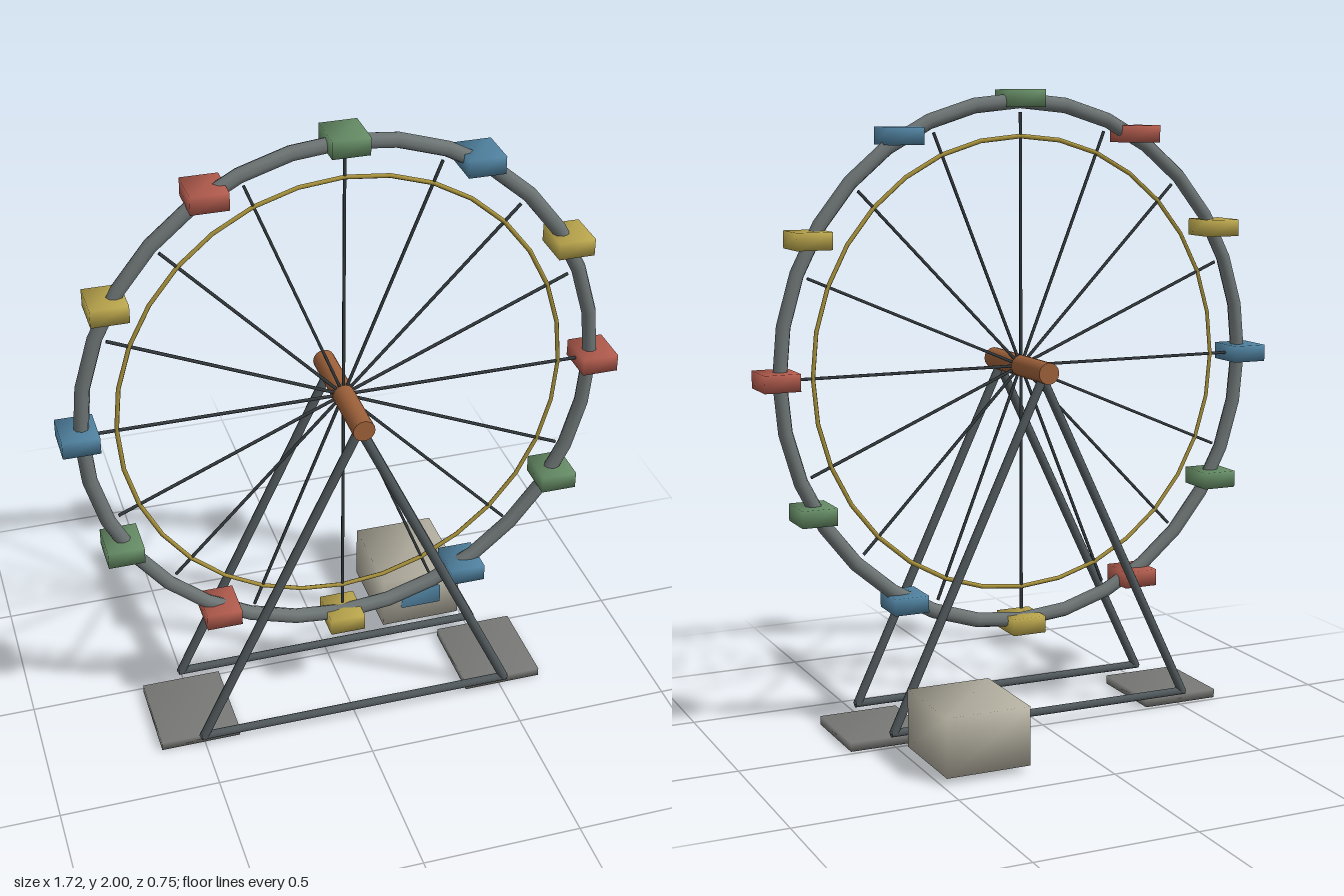
import * as THREE from 'three';
import { mergeVertices } from 'three/addons/utils/BufferGeometryUtils.js';

const AXLE_Y = 1.137, WHEEL_Z = 0.163, STRETCH = 1.043;

const paint = (color) => new THREE.MeshStandardMaterial({ color });
const steel = paint(0x50585b), rimGrey = paint(0x6d7474), wire = paint(0x33393d);
const gold = paint(0xa8923c), copper = paint(0x9c6039), concrete = paint(0x777775);
const cream = paint(0xb5b1a2), blue = paint(0x4f809e);
const cabinPaints = [paint(0xaf5a4c), paint(0xb8a44c), blue, paint(0x648a64)];

function add(parent, name, geometry, material, x = 0, y = 0, z = 0) {
  const mesh = new THREE.Mesh(geometry, material);
  mesh.name = name;
  mesh.position.set(x, y, z);
  parent.add(mesh);
  return mesh;
}

// Box with shared corners, so its shading runs smoothly over the edges
function softBox(w, h, d) {
  const g = new THREE.BoxGeometry(w, h, d);
  g.deleteAttribute('normal');
  g.deleteAttribute('uv');
  const merged = mergeVertices(g);
  merged.computeVertexNormals();
  return merged;
}

// Round bar between two points
function bar(parent, name, a, b, radius, material, sides = 8) {
  const from = new THREE.Vector3(...a), to = new THREE.Vector3(...b);
  const dir = to.clone().sub(from);
  const mesh = add(parent, name, new THREE.CylinderGeometry(radius, radius, dir.length(), sides), material);
  mesh.position.copy(from).add(to).multiplyScalar(0.5);
  mesh.quaternion.setFromUnitVectors(new THREE.Vector3(0, 1, 0), dir.normalize());
  return mesh;
}

function createWheel() {
  const wheel = new THREE.Group();
  wheel.name = 'wheel';
  wheel.position.set(0, AXLE_Y, WHEEL_Z);

  // Rims and spokes, slightly taller than wide
  const frame = new THREE.Group();
  frame.name = 'wheelFrame';
  frame.scale.y = STRETCH;
  wheel.add(frame);
  add(frame, 'outerRim', new THREE.TorusGeometry(0.795, 0.023, 8, 32), rimGrey);
  add(frame, 'innerRim', new THREE.TorusGeometry(0.69, 0.007, 6, 32), gold);
  for (let i = 0; i < 16; i++) {
    const a = (i / 16) * Math.PI * 2;
    bar(frame, 'spoke', [0, 0, 0], [0.76 * Math.cos(a), 0.76 * Math.sin(a), 0], 0.005, wire, 6);
  }

  // Cabins stay level around the rim
  const cabin = softBox(0.112, 0.054, 0.132);
  for (let i = 0; i < 12; i++) {
    const a = (i / 12) * Math.PI * 2;
    add(wheel, 'cabin', cabin, cabinPaints[i % 4], 0.805 * Math.cos(a), 0.836 * Math.sin(a), 0);
  }

  // Axle
  bar(wheel, 'axle', [0, 0, -0.21], [0, 0, 0.21], 0.034, copper, 16);
  return wheel;
}

function createSupports() {
  const supports = new THREE.Group();
  supports.name = 'supports';
  // One A-frame on each side of the wheel
  for (const z of [0, 0.327]) {
    for (const side of [-1, 1]) {
      bar(supports, 'leg', [side * 0.508, 0.042, z], [0, AXLE_Y - 0.02, z], 0.015, steel);
    }
    bar(supports, 'groundBar', [-0.515, 0.046, z], [0.515, 0.046, z], 0.013, steel);
  }
  // Foundation slabs
  for (const side of [-1, 1]) {
    add(supports, 'footPlate', softBox(0.255, 0.028, 0.288), concrete, side * 0.512, 0.014, 0.162);
  }
  return supports;
}

function createBooth() {
  const booth = new THREE.Group();
  booth.name = 'ticketBooth';
  add(booth, 'boothBody', softBox(0.268, 0.182, 0.31), cream, 0.351, 0.111, -0.221);
  add(booth, 'boothWindow', softBox(0.136, 0.066, 0.016), blue, 0.349, 0.119, -0.065);
  return booth;
}

export function createModel() {
  const model = new THREE.Group();
  model.name = 'ferrisWheel';
  model.add(createWheel(), createSupports(), createBooth());
  return model;
}
